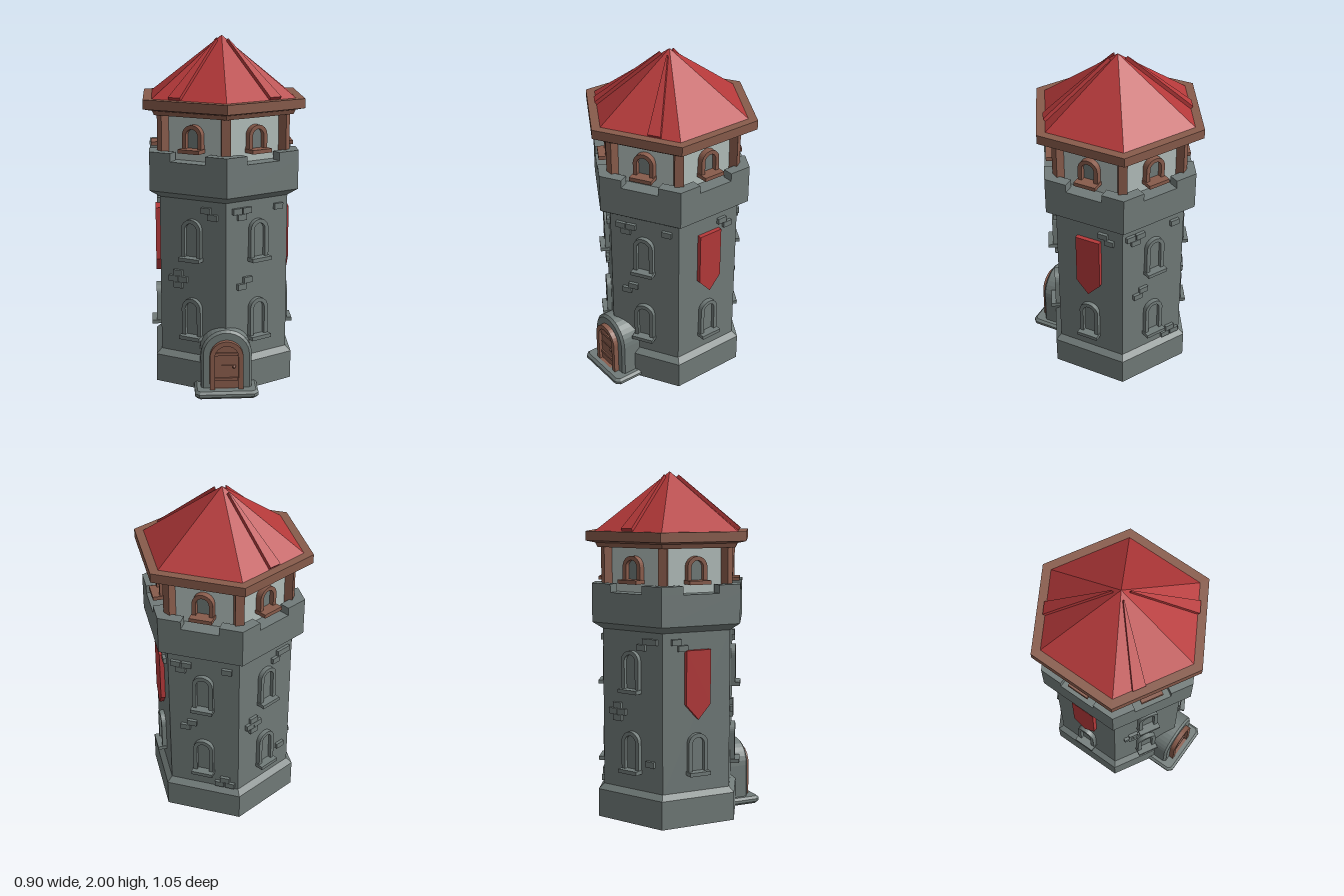
import * as THREE from 'three';

const paint = (name, color) => {
  const m = new THREE.MeshStandardMaterial({ color });
  m.name = name;
  return m;
};

export function createModel() {
  const stone = paint('stone', 0x717b79);
  const plaster = paint('plaster', 0xb2bebb);
  const wood = paint('wood', 0x885b4b);
  const red = paint('roof red', 0xb5393a);

  const model = new THREE.Group();
  model.name = 'hexagonalTower';
  const tower = new THREE.Group();
  tower.name = 'tower';
  tower.position.z = -0.005;
  model.add(tower);

  // Helpers: faceted mesh, box, hexagonal frustum, extruded shape
  const add = (parent, name, geometry, material, x = 0, y = 0, z = 0) => {
    const g = geometry.index ? geometry.toNonIndexed() : geometry;
    g.computeVertexNormals();
    const mesh = new THREE.Mesh(g, material);
    mesh.name = name;
    mesh.position.set(x, y, z);
    parent.add(mesh);
    return mesh;
  };
  const box = (parent, name, w, h, d, material, x, y, z) =>
    add(parent, name, new THREE.BoxGeometry(w, h, d), material, x, y, z);
  const hex = (name, rBottom, rTop, y0, y1, material) =>
    add(tower, name, new THREE.CylinderGeometry(rTop, rBottom, y1 - y0, 6), material, 0, (y0 + y1) / 2, 0);
  const extrude = (shape, depth, bevel = 0) => new THREE.ExtrudeGeometry(shape, {
    depth, curveSegments: 8, bevelEnabled: bevel > 0, bevelSize: bevel,
    bevelThickness: bevel, bevelOffset: -bevel, bevelSegments: 1,
  });
  const polygon = (points) => new THREE.Shape(points.map(([x, y]) => new THREE.Vector2(x, y)));

  // Round-topped outline of half width w
  const arch = (w, bottom, spring) => {
    const s = new THREE.Shape();
    s.moveTo(-w, bottom);
    s.lineTo(w, bottom);
    s.lineTo(w, spring);
    s.absarc(0, spring, w, 0, Math.PI, false);
    return s;
  };
  const archRing = (w, inner, bottom, spring, lip) => {
    const s = arch(w, bottom, spring);
    s.holes.push(arch(inner, bottom + lip, spring));
    return s;
  };

  // Stacked hexagonal masses
  hex('plinth', 0.456, 0.456, 0, 0.165, stone);
  hex('plinthSlope', 0.456, 0.42, 0.165, 0.195, stone);
  hex('shaft', 0.42, 0.42, 0.19, 1.115, stone);
  hex('parapetCorbel', 0.42, 0.485, 1.11, 1.15, stone);
  hex('parapetWall', 0.485, 0.485, 1.15, 1.325, stone);
  hex('upperRoom', 0.385, 0.385, 1.32, 1.59, plaster);
  hex('eaveTrim', 0.45, 0.462, 1.575, 1.6, wood);
  hex('eaveSlope', 0.462, 0.52, 1.6, 1.612, wood);
  hex('eave', 0.52, 0.52, 1.612, 1.665, wood);
  add(tower, 'roof', new THREE.ConeGeometry(0.465, 0.335, 6), red, 0, 1.8325, 0);

  // Merlons wrap each corner; posts stand behind them
  const R = 0.485, arm = 0.133, t = 0.062;
  const px = arm * 0.866, py = R - arm * 0.5;
  const qx = px - t * 0.5, qy = py - t * 0.866;
  const merlon = polygon([[0, -R], [px, -py], [qx, -qy], [0, -(R - t / 0.866)], [-qx, -qy], [-px, -py]]);
  for (let i = 0; i < 6; i++) {
    const corner = new THREE.Group();
    corner.name = 'corner' + (i + 1);
    corner.rotation.y = i * Math.PI / 3;
    tower.add(corner);
    const g = extrude(merlon, 0.05);
    g.rotateX(-Math.PI / 2);
    add(corner, 'merlon', g, stone, 0, 1.322, 0);
    box(corner, 'cornerPost', 0.05, 0.26, 0.05, wood, 0, 1.45, 0.393);
  }

  // Bricks standing proud of a wall: [across, height]
  const wall = 0.364;
  const pair = (u, y) => [[u - 0.02, y + 0.018], [u + 0.02, y - 0.018]];
  const trio = (u, y) => [[u - 0.032, y + 0.018], [u + 0.032, y + 0.018], [u, y - 0.018]];
  const cross = (u, y) => [[u, y + 0.036], [u - 0.03, y], [u + 0.03, y], [u, y - 0.036]];
  const faces = [
    { angle: 30, strip: 0.085, bricks: [...trio(-0.11, 1.04), [0.14, 1.055], ...pair(-0.09, 0.635).map(([u, y]) => [-0.18 - u, y])] },
    { angle: 90, banner: true, bricks: pair(0.11, 1.04) },
    { angle: 150, bricks: [...trio(-0.13, 1.04), [0.14, 1.055], ...pair(-0.09, 0.635).map(([u, y]) => [-0.18 - u, y]), ...trio(0.13, 0.24).map(([u, y]) => [u, 0.48 - y])] },
    { angle: 210, strip: 0, bricks: [...pair(0.09, 1.04).map(([u, y]) => [0.18 - u, y]), [0.15, 1.058], ...cross(-0.1, 0.64), [0.13, 0.36]] },
    { angle: 270, banner: true, bricks: pair(-0.11, 1.04) },
    { angle: 330, strip: -0.085, bricks: [...pair(0.11, 1.04), ...cross(-0.09, 0.64)] },
  ];

  const stoneWindow = (face, y) => {
    const g = new THREE.Group();
    g.name = 'stoneWindow';
    g.position.set(0, y, wall);
    face.add(g);
    add(g, 'windowFrame', extrude(archRing(0.06, 0.037, 0, 0.175, 0.015), 0.032), stone, 0, 0, -0.005);
    add(g, 'windowPane', extrude(arch(0.04, 0.01, 0.175), 0.01), stone, 0, 0, -0.005);
    box(g, 'windowSill', 0.13, 0.022, 0.06, stone, 0, 0.005, 0.025);
  };

  for (const f of faces) {
    const face = new THREE.Group();
    face.name = 'face' + f.angle;
    face.rotation.y = THREE.MathUtils.degToRad(f.angle);
    tower.add(face);

    stoneWindow(face, 0.3);
    if (f.banner) {
      const cloth = polygon([[-0.075, 1.01], [-0.075, 0.7], [0, 0.615], [0.075, 0.7], [0.075, 1.01]]);
      add(face, 'banner', extrude(cloth, 0.028), red, 0, 0, wall - 0.002);
    } else stoneWindow(face, 0.765);

    for (const [u, y] of f.bricks) box(face, 'brick', 0.057, 0.034, 0.03, stone, u, y, wall + 0.003);

    // Upper room window
    add(face, 'upperWindowFrame', extrude(archRing(0.06, 0.037, 1.38, 1.47, 0.015), 0.04), wood, 0, 0, 0.33);
    add(face, 'upperWindowPane', extrude(arch(0.04, 1.385, 1.47), 0.012), stone, 0, 0, 0.33);
    box(face, 'upperWindowSill', 0.13, 0.022, 0.08, wood, 0, 1.387, 0.37);

    // Tapered ridge lying on the roof slope
    if (f.strip !== undefined) {
      const u = f.strip;
      const ridge = polygon([[u - 0.037, 0], [u + 0.037, 0], [u * 0.1 + 0.003, 0.47], [u * 0.1 - 0.003, 0.47]]);
      const m = add(face, 'roofRidge', extrude(ridge, 0.022), red, 0, 1.665, 0.4);
      m.rotation.x = -Math.atan2(0.403, 0.335);
    }
  }

  // Doorway on the front corner
  const door = new THREE.Group();
  door.name = 'doorway';
  tower.add(door);
  add(door, 'doorSurround', extrude(arch(0.145, 0.02, 0.24), 0.13, 0.014), stone, 0, 0, 0.316);
  add(door, 'doorFrame', extrude(archRing(0.095, 0.068, 0.04, 0.235, 0.004), 0.035), wood, 0, 0, 0.455);
  add(door, 'doorPanel', extrude(arch(0.07, 0.042, 0.235), 0.014), wood, 0, 0, 0.455);
  for (const y of [0.1, 0.25]) box(door, 'doorBand', 0.13, 0.018, 0.012, wood, 0, y, 0.471);
  box(door, 'doorRail', 0.13, 0.006, 0.008, wood, 0, 0.18, 0.47);
  add(door, 'doorKnob', new THREE.SphereGeometry(0.01, 8, 6), wood, 0.042, 0.175, 0.478);

  // Doorstep with clipped corners and a bevelled top
  const step = polygon([[-0.18, -0.33], [-0.18, -0.505], [-0.155, -0.53], [0.155, -0.53], [0.18, -0.505], [0.18, -0.33]]);
  const slab = extrude(step, 0.016, 0.014);
  slab.rotateX(-Math.PI / 2);
  add(door, 'doorstep', slab, stone, 0, 0.014, 0);

  return model;
}
